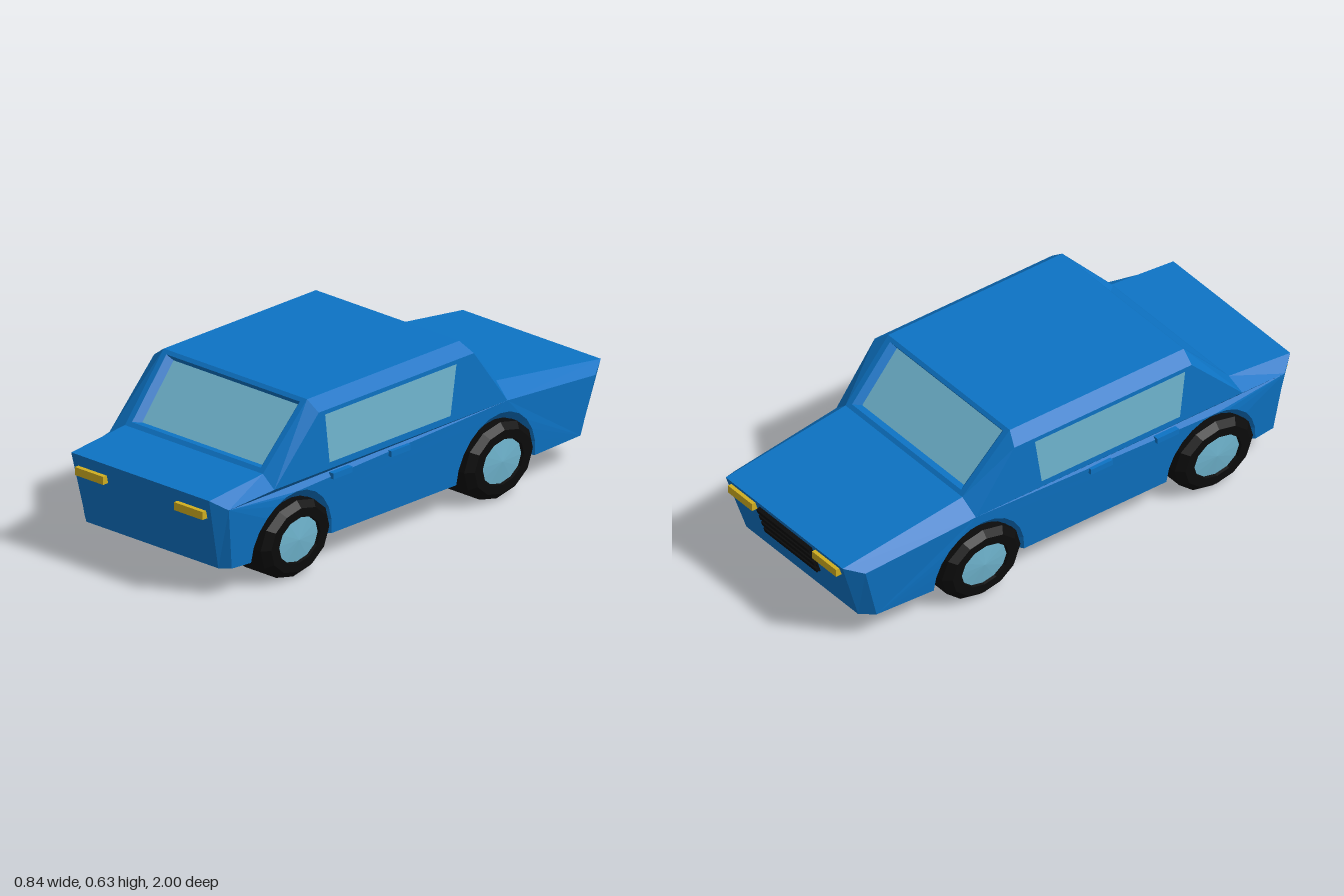
import * as THREE from 'three';

const paint = (color, side = THREE.FrontSide) =>
  new THREE.MeshStandardMaterial({ color, flatShading: true, side });
const blue = paint(0x0d73c4, THREE.DoubleSide);
const glass = paint(0x70b6d0, THREE.DoubleSide);
const yellow = paint(0xd0ae20);
const black = paint(0x0b0b0b);

function surface(name, points, index, mat) {
  const g = new THREE.BufferGeometry().setFromPoints(points.map(p => new THREE.Vector3(...p)));
  g.setIndex(index);
  g.computeVertexNormals();
  const m = new THREE.Mesh(g, mat);
  m.name = name;
  return m;
}

// Ribbon of quads joining two rows of points
function strip(name, a, b, mat = blue) {
  const n = a.length, index = [];
  for (let i = 0; i < n - 1; i++) index.push(i, i + n, i + 1, i + 1, i + n, i + n + 1);
  return surface(name, [...a, ...b], index, mat);
}

// Filled outline, each 2D point placed in space by a rule
function fill(name, outline, place, mat = blue) {
  const faces = THREE.ShapeUtils.triangulateShape(outline.map(p => new THREE.Vector2(...p)), []);
  return surface(name, outline.map(p => place(...p)), faces.flat(), mat);
}

function box(name, size, pos, mat, tilt = 0) {
  const m = new THREE.Mesh(new THREE.BoxGeometry(...size), mat);
  m.name = name;
  m.position.set(...pos);
  m.rotation.x = tilt;
  return m;
}

const floorY = 0.105, wellX = 0.2, axles = [0.613, -0.417];

// Upper edge and shoulder of the body, from +z to -z
const top = [[0.335, 0.38, 0.992], [0.335, 0.405, 0.72], [0.348, 0.63, 0.51],
  [0.348, 0.63, -0.26], [0.335, 0.42, -0.46], [0.335, 0.35, -0.99]];
const shoulder = [[0.935, 0.34], [0.73, 0.365], [0.505, 0.592],
  [-0.28, 0.592], [-0.45, 0.365], [-0.92, 0.32]];

// Flank width: tucks in towards the sill and the ends
const flankX = (z, y) => 0.4 - 0.1 * Math.max(0, 0.36 - y) - 0.12 * Math.max(0, Math.abs(z) - 0.75);
const onFlank = (z, y) => [flankX(z, y), y, z];
const flip = p => [-p[0], p[1], p[2]];

// Wheel arch as [z, y], from +z to -z
function arch(c, rz, ry) {
  return Array.from({ length: 13 }, (_, i) => {
    const a = i / 12 * Math.PI;
    return [c + rz * Math.cos(a), floorY + ry * Math.sin(a)];
  });
}

function wheel(z) {
  const g = new THREE.Group();
  g.name = 'wheel';
  // Slight oval, leaning outwards at the top
  const lean = new THREE.Matrix4().set(1, 0.06, 0, 0, 0, 1, 0, 0.146, 0, 0, 1.19, z, 0, 0, 0, 1);
  const part = (name, profile, mat) => {
    const geo = new THREE.LatheGeometry(profile.map(p => new THREE.Vector2(...p)), 12);
    geo.rotateZ(-Math.PI / 2).applyMatrix4(lean);
    const m = new THREE.Mesh(geo, mat);
    m.name = name;
    g.add(m);
  };
  part('tyre', [[0, 0.237], [0.146, 0.237], [0.146, 0.388], [0.122, 0.412], [0.088, 0.412], [0.085, 0.4]], black);
  part('hubcap', [[0.086, 0.401], [0, 0.409]], glass);
  return g;
}

function bodySide() {
  const g = new THREE.Group();
  g.name = 'bodySide';
  const sill = [[0.9, floorY], [-0.86, floorY]];
  const outer = axles.map(c => arch(c, 0.2, 0.22));
  const inner = axles.map(c => arch(c, 0.182, 0.19));
  const lipX = y => flankX(0, y) - 0.025;

  // Flank with both arches cut out
  g.add(fill('flank', [...shoulder, sill[1], ...[...outer[1]].reverse(), ...[...outer[0]].reverse(), sill[0]], onFlank));
  g.add(strip('shoulderBevel', top, shoulder.map(p => onFlank(...p))));

  // Cut corners at both ends
  const ends = [[0, [0.32, floorY, 0.93]], [1, [0.32, floorY, -0.91]]];
  for (const [i, low] of ends) {
    const k = i * 5;
    g.add(strip('cornerPanel', [top[k], low], [onFlank(...shoulder[k]), onFlank(...sill[i])]));
  }

  // Arch lips and wheel wells
  axles.forEach((c, i) => {
    const lip = inner[i].map(([z, y]) => [lipX(y), y, z]);
    g.add(strip('archLip', outer[i].map(p => onFlank(...p)), lip));
    g.add(strip('wheelWell', lip, lip.map(p => [wellX, p[1], p[2]])));
    g.add(fill('wellWall', inner[i], (z, y) => [wellX, y, z]));
    g.add(wheel(c));
  });

  // Floor with notches for the wells
  const edge = [[0, 0.93], [0.32, 0.93], [flankX(...sill[0]), 0.9]];
  for (const c of axles) {
    const lx = lipX(floorY);
    edge.push([flankX(c + 0.2, floorY), c + 0.2], [lx, c + 0.182], [wellX, c + 0.182],
      [wellX, c - 0.182], [lx, c - 0.182], [flankX(c - 0.2, floorY), c - 0.2]);
  }
  edge.push([flankX(...sill[1]), -0.86], [0.32, -0.91], [0, -0.91]);
  g.add(fill('floor', edge, (x, z) => [x, floorY, z]));

  // Side window and door handles
  g.add(fill('sideWindow', [[0.475, 0.577], [-0.19, 0.577], [-0.16, 0.39], [0.452, 0.39]],
    (z, y) => [0.402, y, z], glass));
  for (const z of [0.393, 0.1]) g.add(box('doorHandle', [0.022, 0.022, 0.096], [0.4, 0.336, z], blue));
  // Lamps at both ends
  for (const s of [1, -1]) g.add(box('lamp', [0.138, 0.03, 0.03], [0.241, 0.319, s * 0.985], yellow));
  return g;
}

// Sloping screen set into a frame between a lower and an upper body edge
function screen(name, low, high) {
  const g = new THREE.Group();
  g.name = name;
  const dir = Math.sign(low[2]);
  const ring = (margin, t0, t1, depth) => {
    const at = (t, s) => [s * (low[0] + (high[0] - low[0]) * t - margin),
      low[1] + (high[1] - low[1]) * t - depth * 0.7, low[2] + (high[2] - low[2]) * t - depth * 0.7 * dir];
    return [at(t0, -1), at(t0, 1), at(t1, 1), at(t1, -1), at(t0, -1)];
  };
  const hole = ring(0.023, 0.06, 0.945, 0);
  const pane = ring(0.045, 0.12, 0.93, 0.024);
  g.add(strip('screenFrame', ring(0, 0, 1, 0), hole));
  g.add(strip('screenReveal', hole, pane));
  g.add(strip('screenGlass', [pane[0], pane[1]], [pane[3], pane[2]], glass));
  return g;
}

export function createModel() {
  const car = new THREE.Group();
  car.name = 'car';

  // Mirrored sides
  const left = bodySide();
  const right = left.clone();
  right.scale.x = -1;
  car.add(left, right);

  // Decks, roof and end panels across the middle
  const across = (name, a, b) => car.add(strip(name, [a, b], [flip(a), flip(b)]));
  across('frontDeck', top[0], top[1]);
  across('roof', top[2], top[3]);
  across('backDeck', top[4], top[5]);
  across('frontPanel', top[0], [0.32, floorY, 0.93]);
  across('backPanel', top[5], [0.32, floorY, -0.91]);
  car.add(screen('frontScreen', top[1], top[2]), screen('backScreen', top[4], top[3]));

  // Slatted grille on the sloping back panel
  const grille = new THREE.Group();
  grille.name = 'grille';
  const tilt = -Math.atan2(0.08, 0.245);
  const faceZ = y => -0.91 - 0.08 * (y - floorY) / 0.245;
  grille.add(box('grillePlate', [0.3, 0.125, 0.012], [0, 0.27, faceZ(0.27)], black, -tilt * -1));
  for (let i = 0; i < 4; i++) {
    const y = 0.222 + i * 0.032;
    grille.add(box('grilleSlat', [0.3, 0.02, 0.024], [0, y, faceZ(y) - 0.004], black, tilt));
  }
  car.add(grille);
  return car;
}
